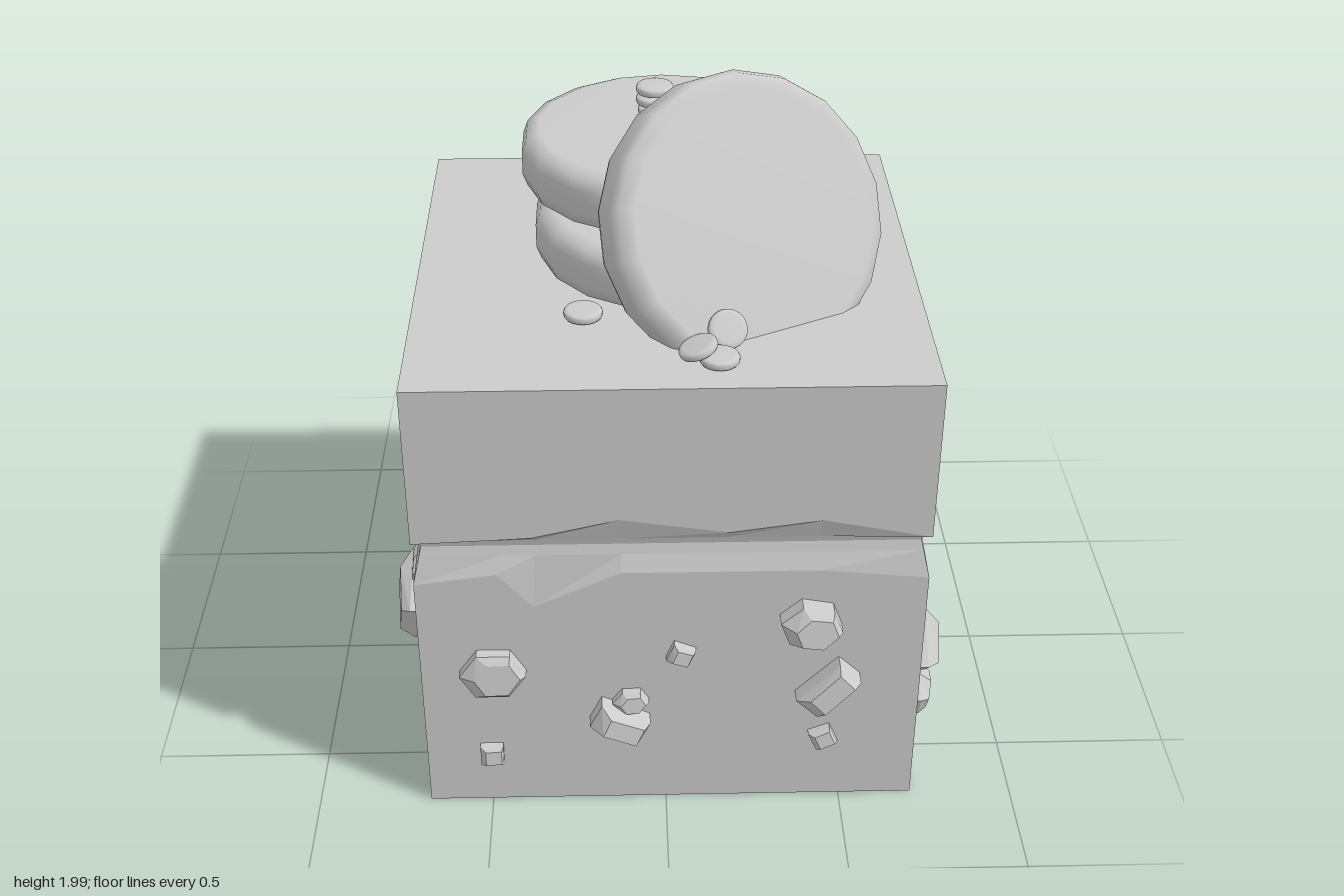
import * as THREE from 'three';

const X0 = -0.68, X1 = 0.71, Z0 = -0.69, Z1 = 0.695, TOP = 1.39;
const flat = new THREE.MeshStandardMaterial({ color: 0xcccccc, flatShading: true });
const smooth = new THREE.MeshStandardMaterial({ color: 0xcccccc });

function add(parent, name, geometry, material, pos = [0, 0, 0]) {
  const mesh = new THREE.Mesh(geometry, material);
  mesh.name = name;
  mesh.position.set(...pos);
  parent.add(mesh);
  return mesh;
}

// Square block with a ragged V groove, made from stacked perimeter loops
function blockGeometry() {
  const corners = [[X0, Z1], [X1, Z1], [X1, Z0], [X0, Z0]];
  const steps = [0, 0.16, 0.23, 0.4, 0.61, 0.79];
  const upper = [[0.915, 0.925, 0.93, 0.985, 0.94, 0.975], [0.915, 0.945, 0.955, 0.965, 0.93, 0.92]];
  const lower = [[0.78, 0.81, 0.7, 0.81, 0.81, 0.81], [0.78, 0.82, 0.81, 0.74, 0.82, 0.81]];
  const rings = [
    { y: () => 0, inset: 0 },
    { y: (s, i) => lower[s % 2][i], inset: 0 },
    { y: () => 0.86, inset: 0.018 },
    { y: () => 0.89, inset: 0.025 },
    { y: () => 0.91, inset: 0.02 },
    { y: (s, i) => upper[s % 2][i], inset: 0 },
    { y: () => TOP, inset: 0 },
  ];
  const pos = [], idx = [], n = 4 * steps.length;
  const cx = (X0 + X1) / 2, cz = (Z0 + Z1) / 2;
  for (const ring of rings) {
    for (let s = 0; s < 4; s++) {
      const a = corners[s], b = corners[(s + 1) % 4];
      steps.forEach((t, i) => {
        const x = a[0] + (b[0] - a[0]) * t, z = a[1] + (b[1] - a[1]) * t;
        const k = 1 - ring.inset / 0.69;
        pos.push(cx + (x - cx) * k, ring.y(s, i), cz + (z - cz) * k);
      });
    }
  }
  const last = (rings.length - 1) * n, bottom = rings.length * n, top = bottom + 1;
  pos.push(cx, 0, cz, cx, TOP, cz);
  for (let i = 0; i < n; i++) {
    const j = (i + 1) % n;
    for (let r = 0; r < last; r += n) {
      idx.push(r + i, r + j, r + n + j, r + i, r + n + j, r + n + i);
    }
    idx.push(bottom, j, i, top, last + i, last + j);
  }
  const g = new THREE.BufferGeometry();
  g.setAttribute('position', new THREE.Float32BufferAttribute(pos, 3));
  g.setIndex(idx);
  g.computeVertexNormals();
  return g;
}

// Faceted chunk: a few-sided stub with a chamfered, slightly slanted outer face (+z)
function chunkGeometry(sides, w, h, depth) {
  const g = new THREE.CylinderGeometry(0.5, 0.5, 1, sides, 3);
  g.rotateY(sides === 4 ? Math.PI / 4 : 0.3);
  g.rotateX(Math.PI / 2);
  const p = g.attributes.position, fit = sides === 4 ? 1.41 : 1.03;
  for (let i = 0; i < p.count; i++) {
    const x = p.getX(i), y = p.getY(i), z = p.getZ(i);
    const shrink = z > 0.4 ? 0.68 : 1;
    const outer = z > 0.4 ? depth * (1 - 0.15 * (x + 1.2 * y + 0.5)) : z > 0 ? depth * 0.55 : -0.03;
    p.setXYZ(i, x * w * fit * shrink + (z > 0.4 ? 0.08 * w : 0), y * h * fit * shrink, outer);
  }
  g.computeVertexNormals();
  return g;
}

// Rounded disc standing on y = 0
function discGeometry(r, h, bevel, segments) {
  const points = [[0, 0], [r - bevel, 0], [r - bevel * 0.25, h * 0.1], [r, h * 0.3],
    [r, h * 0.7], [r - bevel * 0.25, h * 0.9], [r - bevel, h], [0, h]];
  return new THREE.LatheGeometry(points.map(([x, y]) => new THREE.Vector2(x, y)), segments);
}

export function createModel() {
  const model = new THREE.Group();
  model.name = 'blockWithDiscs';
  add(model, 'groovedBlock', blockGeometry(), flat);

  // Embedded chunks: across, up, width, height, turn, depth, sides
  const front = [
    [-0.48, 0.48, 0.18, 0.16, 0.2, 0.055, 6], [-0.495, 0.18, 0.065, 0.065, 0, 0.035, 4],
    [-0.1, 0.37, 0.1, 0.08, 0.2, 0.04, 6], [-0.13, 0.31, 0.15, 0.08, -0.45, 0.08, 4],
    [0.04, 0.535, 0.065, 0.06, -0.4, 0.035, 4], [0.395, 0.645, 0.17, 0.14, 0, 0.08, 6],
    [0.45, 0.42, 0.17, 0.085, 0.8, 0.08, 4], [0.445, 0.225, 0.065, 0.065, 0.4, 0.035, 4],
  ];
  // The same scatter turned half round
  const right = front.map(([x, y, w, h, a, ...rest]) => [-x - 0.05, 0.825 - y, w, h, a + Math.PI, ...rest]);
  const backSpots = [[0.42, 0.485], [0.385, 0.765], [0.04, 0.54], [0.08, 0.59],
    [-0.04, 0.355], [-0.33, 0.185], [-0.43, 0.37], [-0.455, 0.565]];
  const back = front.map(([, , w, h, a, ...rest], i) => [...backSpots[i], w, h, a + Math.PI + 0.2, ...rest]);
  const left = [
    [-0.24, 0.63, 0.25, 0.26, 0.3, 0.07, 6], [0.26, 0.53, 0.14, 0.13, 0.2, 0.06, 6],
    [0.25, 0.41, 0.22, 0.16, -0.4, 0.11, 4], [-0.27, 0.17, 0.11, 0.12, 0.1, 0.04, 4],
  ];
  const faces = [
    ['front', front, 0, [0, 0, Z1]], ['right', right, Math.PI / 2, [X1, 0, 0]],
    ['back', back, Math.PI, [0, 0, Z0]], ['left', left, -Math.PI / 2, [X0, 0, 0]],
  ];
  for (const [name, list, turn, pos] of faces) {
    const side = new THREE.Group();
    side.name = name + 'Chunks';
    side.rotation.y = turn;
    side.position.set(...pos);
    for (const [x, y, w, h, a, depth, sides] of list) {
      add(side, 'chunk', chunkGeometry(sides, w, h, depth), flat, [x, y, 0]).rotation.z = a;
    }
    model.add(side);
  }

  // Two stacked discs and one leaning against them
  const disc = discGeometry(0.405, 0.17, 0.05, 18);
  add(model, 'lowerDisc', disc, smooth, [0.05, 1.385, -0.07]);
  add(model, 'upperDisc', disc, smooth, [0.015, 1.57, -0.155]);
  const normal = new THREE.Vector3(0.4, 0.45, 0.79).normalize();
  const lean = add(model, 'leaningDisc', disc, smooth);
  lean.quaternion.setFromUnitVectors(new THREE.Vector3(0, 1, 0), normal);
  lean.position.set(0.215, 1.615, 0.22).addScaledVector(normal, -0.085);

  // Small chips: x, y, z, tilt about x, tilt about z
  const chip = discGeometry(0.053, 0.026, 0.014, 20).translate(0, -0.013, 0);
  const chips = [
    [-0.005, 1.76, -0.21], [-0.01, 1.79, -0.215], [-0.01, 1.82, -0.22],
    [0, 1.76, -0.105], [0.165, 1.76, -0.345], [-0.215, 1.405, 0.325],
    [0.14, 1.405, 0.57], [0.085, 1.425, 0.55, 0, 0.35], [0.165, 1.435, 0.475, 0.9, -0.2],
    [0.54, 1.405, -0.055], [0.5, 1.405, -0.165], [0.505, 1.432, -0.13], [0.53, 1.425, -0.24, -0.4, 0],
  ];
  for (const [x, y, z, tx = 0, tz = 0] of chips) {
    add(model, 'chip', chip, smooth, [x, y, z]).rotation.set(tx, 0, tz);
  }
  return model;
}
